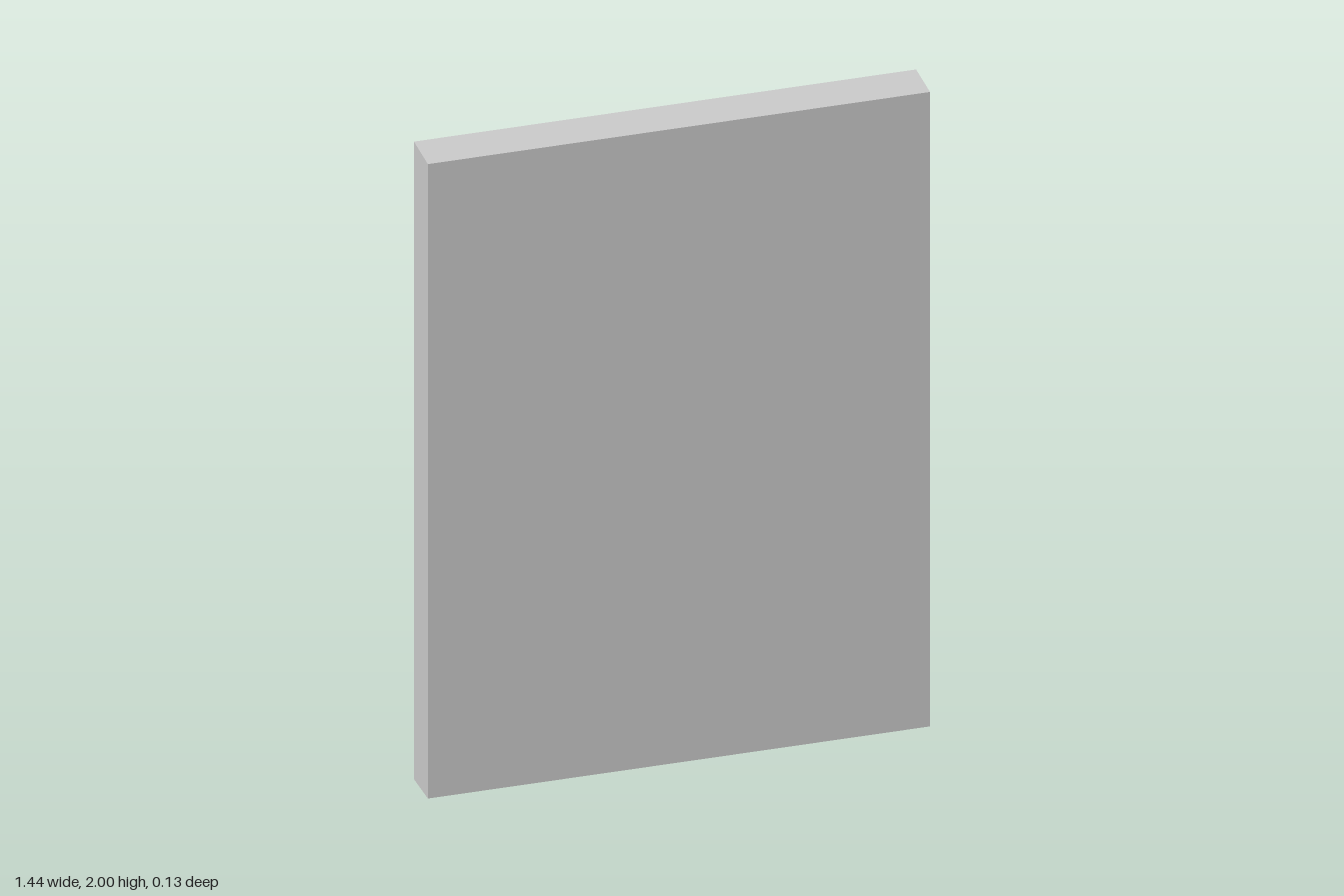
import * as THREE from 'three';

const W = 1.44, H = 2, BACK = -0.067, FRONT = 0.067;
const LIFT = 0.01; // the underside rises slightly towards the front

// Rectangle outline, inset from the outer edge of the panel
function outline(Type, inset) {
  const x = W / 2 - inset, y0 = inset, y1 = H - inset;
  return new Type([
    new THREE.Vector2(-x, y0), new THREE.Vector2(x, y0),
    new THREE.Vector2(x, y1), new THREE.Vector2(-x, y1),
  ]);
}

// Flat layer between two depths, with an optional rectangular opening
function layer(name, outer, inner, z0, z1, material) {
  const shape = outline(THREE.Shape, outer);
  if (inner) shape.holes.push(outline(THREE.Path, inner));
  const geometry = new THREE.ExtrudeGeometry(shape, { depth: z1 - z0, bevelEnabled: false });
  geometry.translate(0, 0, z0);
  // Slope the underside
  const p = geometry.attributes.position;
  for (let i = 0; i < p.count; i++) {
    if (p.getY(i) < 0.001) p.setY(i, LIFT * (p.getZ(i) - BACK) / (FRONT - BACK));
  }
  geometry.computeVertexNormals();
  const mesh = new THREE.Mesh(geometry, material);
  mesh.name = name;
  return mesh;
}

export function createModel() {
  const group = new THREE.Group();
  group.name = 'framedPanel';
  const material = new THREE.MeshStandardMaterial({ color: 0xcccccc });
  const grooveFloor = BACK + 0.022, recessFloor = BACK + 0.08;

  group.add(
    // Plain front board, also the floor of the central recess
    layer('frontBoard', 0, 0, recessFloor, FRONT, material),
    // Surround whose back is the floor of the groove
    layer('surround', 0, 0.19, grooveFloor, recessFloor, material),
    // Thin lip around the outer edge
    layer('outerRim', 0, 0.025, BACK, grooveFloor, material),
    // Raised frame around the recess, level with the rim
    layer('innerFrame', 0.14, 0.19, BACK, grooveFloor, material),
  );
  return group;
}
